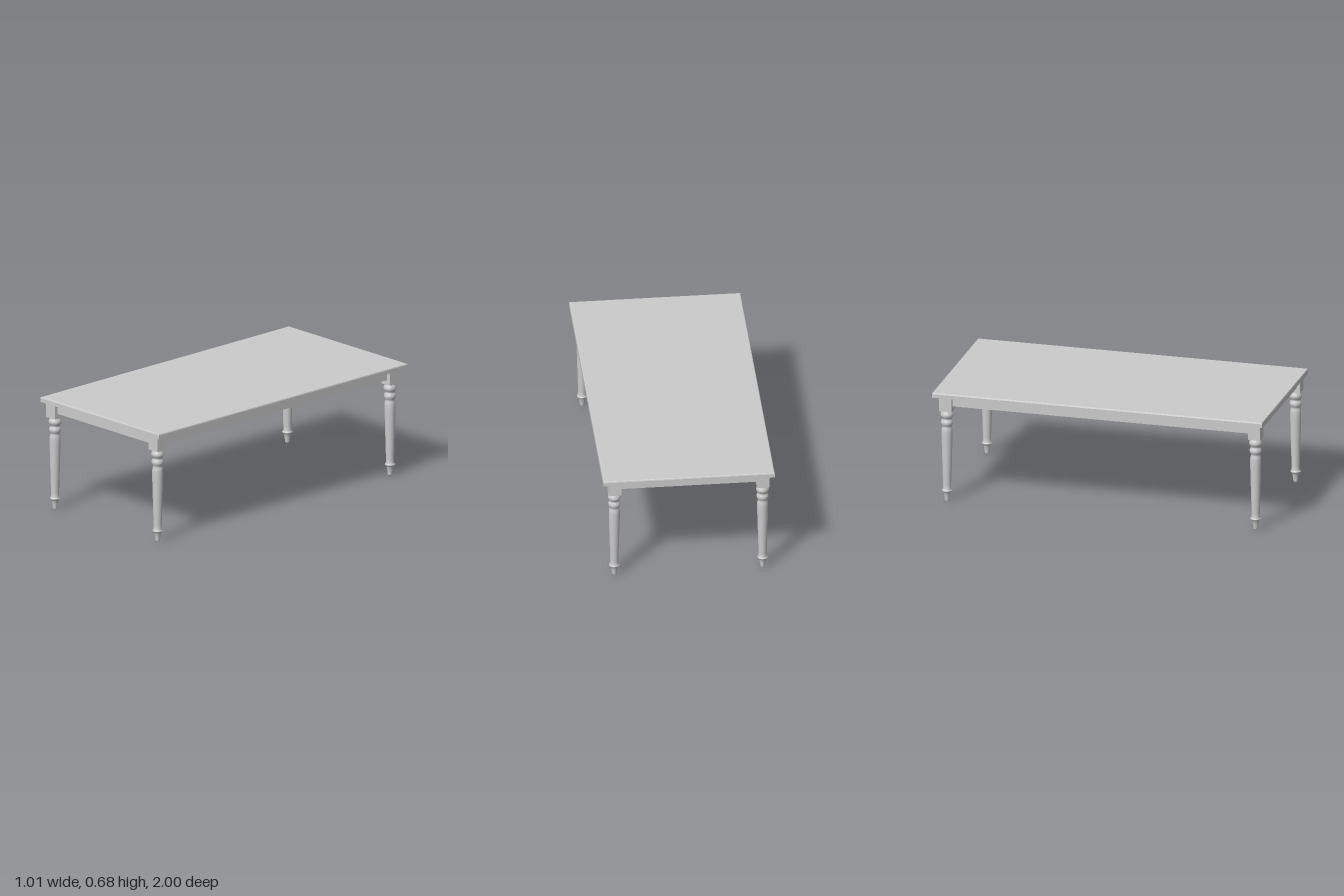
import * as THREE from 'three';

export function createModel() {
  const table = new THREE.Group();
  table.name = 'diningTable';
  const smooth = new THREE.MeshStandardMaterial({ color: 0xcccccc });
  const flat = new THREE.MeshStandardMaterial({ color: 0xcccccc, flatShading: true });

  const add = (name, geometry, material, x, y, z, parent = table) => {
    const mesh = new THREE.Mesh(geometry, material);
    mesh.name = name;
    mesh.position.set(x, y, z);
    parent.add(mesh);
    return mesh;
  };

  // Tabletop: a slab whose upper edge is eased by pulling in its top rings
  const W = 1.006, L = 2, T = 0.03;
  const slab = new THREE.BoxGeometry(W, T, L, 1, 3, 1);
  const rings = [[0, 0], [0.022, 0], [0.028, 0.002], [0.03, 0.006]]; // height, inset
  const p = slab.attributes.position;
  for (let i = 0; i < p.count; i++) {
    const [h, inset] = rings[Math.round((p.getY(i) / T + 0.5) * 3)];
    p.setXYZ(i, Math.sign(p.getX(i)) * (W / 2 - inset), h, Math.sign(p.getZ(i)) * (L / 2 - inset));
  }
  add('tabletop', slab, flat, 0, 0.65, 0);

  // Base sits very slightly off the centre of the top
  const base = new THREE.Group();
  base.name = 'base';
  base.position.set(-0.003, 0, 0.009);
  table.add(base);
  const legX = 0.435, legZ = 0.935, block = 0.075;

  // Turned leg profile, radius and height: foot, ankle bead, tapered shaft, two rings
  const profile = [
    [0, 0], [0.013, 0], [0.0135, 0.004], [0.017, 0.03], [0.021, 0.05], [0.026, 0.057],
    [0.0315, 0.063], [0.0305, 0.068], [0.0235, 0.074], [0.024, 0.1], [0.027, 0.2],
    [0.0305, 0.32], [0.0325, 0.4], [0.0325, 0.43], [0.031, 0.447], [0.027, 0.458],
    [0.0285, 0.465], [0.034, 0.474], [0.036, 0.484], [0.0345, 0.494], [0.029, 0.504],
    [0.028, 0.51], [0.032, 0.516], [0.037, 0.525], [0.0385, 0.533], [0.0365, 0.543],
    [0.031, 0.552], [0.029, 0.561],
  ].map(([r, y]) => new THREE.Vector2(r, y));
  const legGeometry = new THREE.LatheGeometry(profile, 28);
  const blockGeometry = new THREE.BoxGeometry(block, 0.09, block);

  for (const sz of [1, -1]) {
    for (const sx of [1, -1]) {
      const leg = new THREE.Group();
      leg.name = (sz > 0 ? 'front' : 'back') + (sx > 0 ? 'Left' : 'Right') + 'Leg';
      leg.position.set(sx * legX, 0, sz * legZ);
      base.add(leg);
      add('turnedPost', legGeometry, smooth, 0, 0, 0, leg);
      add('cornerBlock', blockGeometry, flat, 0, 0.605, 0, leg);
    }
  }

  // Apron boards between the corner blocks, set back from their outer faces
  const thick = 0.045, shift = 0.008;
  const endApron = new THREE.BoxGeometry(2 * legX - block, 0.06, thick);
  const sideApron = new THREE.BoxGeometry(thick, 0.06, 2 * legZ - block);
  for (const s of [1, -1]) {
    add(s > 0 ? 'frontApron' : 'backApron', endApron, flat, 0, 0.62, s * (legZ - shift), base);
    add(s > 0 ? 'leftApron' : 'rightApron', sideApron, flat, s * (legX - shift), 0.62, 0, base);
  }
  return table;
}
